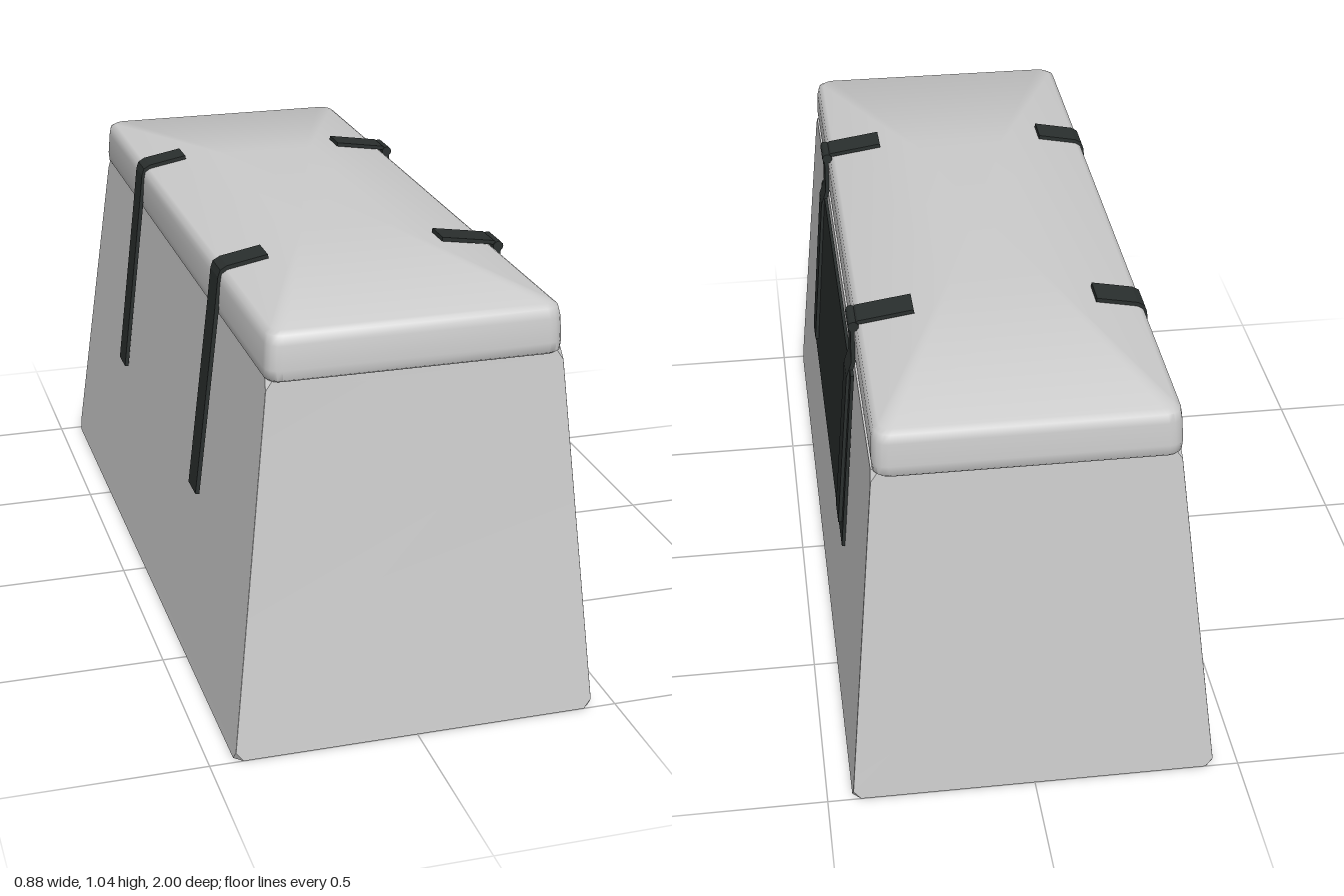
import * as THREE from 'three';
import { toCreasedNormals } from 'three/addons/utils/BufferGeometryUtils.js';

const grey = new THREE.MeshStandardMaterial({ color: 0xcccccc });
const dark = new THREE.MeshStandardMaterial({ color: 0x2a2f2e });

// Closed loft through rectangles [y, x0, x1, z0, z1, corner radius]
function loft(rings, cornerSteps, crease) {
  const pos = [], index = [];
  const n = 4 * (cornerSteps + 1);
  for (const [y, x0, x1, z0, z1, r] of rings) {
    const corners = [[x1 - r, z1 - r], [x0 + r, z1 - r], [x0 + r, z0 + r], [x1 - r, z0 + r]];
    corners.forEach(([cx, cz], c) => {
      for (let s = 0; s <= cornerSteps; s++) {
        const a = (c + s / cornerSteps) * Math.PI / 2;
        pos.push(cx + r * Math.cos(a), y, cz + r * Math.sin(a));
      }
    });
  }
  for (let k = 0; k < rings.length - 1; k++) {
    for (let i = 0; i < n; i++) {
      const a = k * n + i, b = k * n + (i + 1) % n;
      index.push(a, a + n, b, b, a + n, b + n);
    }
  }
  // bottom and top lids
  const last = rings.length - 1;
  for (const k of [0, last]) {
    const [y, x0, x1, z0, z1] = rings[k];
    const centre = pos.length / 3;
    pos.push((x0 + x1) / 2, y, (z0 + z1) / 2);
    for (let i = 0; i < n; i++) {
      const a = k * n + i, b = k * n + (i + 1) % n;
      if (k === 0) index.push(centre, a, b);
      else index.push(centre, b, a);
    }
  }
  const geo = new THREE.BufferGeometry();
  geo.setAttribute('position', new THREE.Float32BufferAttribute(pos, 3));
  geo.setIndex(index);
  return toCreasedNormals(geo, crease);
}

// Flat band of given thickness following an x/y path, extruded along z
function band(path, thickness, width, z) {
  const pts = path.map(([x, y]) => new THREE.Vector2(x, y));
  const side = (sign) => pts.map((p, i) => {
    const d = pts[Math.min(i + 1, pts.length - 1)].clone().sub(pts[Math.max(i - 1, 0)]).normalize();
    return new THREE.Vector2(p.x - d.y * sign * thickness / 2, p.y + d.x * sign * thickness / 2);
  });
  const shape = new THREE.Shape([...side(1), ...side(-1).reverse()]);
  const geo = new THREE.ExtrudeGeometry(shape, { depth: width, bevelEnabled: false });
  geo.translate(0, 0, z - width / 2);
  return geo;
}

export function createModel() {
  const model = new THREE.Group();
  const add = (name, geo, mat) => {
    const mesh = new THREE.Mesh(geo, mat);
    mesh.name = name;
    model.add(mesh);
    return mesh;
  };

  // Tapered body with clipped corners
  add('body', loft([
    [0, -0.44, 0.44, -1, 1, 0.02],
    [0.022, -0.437, 0.438, -0.998, 0.997, 0.0005],
    [0.865, -0.335, 0.366, -0.917, 0.897, 0.0005],
    [0.89, -0.332, 0.364, -0.915, 0.895, 0.015],
  ], 1, 0.2), grey);

  // Padded lid with a gently raised crown
  add('lid', loft([
    [0.886, -0.328, 0.352, -0.93, 0.905, 0.03],
    [0.892, -0.334, 0.36, -0.935, 0.913, 0.035],
    [0.915, -0.336, 0.362, -0.935, 0.914, 0.035],
    [0.97, -0.332, 0.36, -0.93, 0.908, 0.035],
    [0.993, -0.328, 0.355, -0.927, 0.903, 0.035],
    [1.002, -0.315, 0.343, -0.915, 0.89, 0.03],
    [1.037, -0.115, 0.135, -0.39, 0.38, 0.01],
  ], 4, 0.9), grey);

  // Panel hanging on the left side
  add('sidePanel', band([[0.372, 0.88], [0.411, 0.38]], 0.008, 1.01, 0), dark);

  const leftPath = [[0.22, 1.03], [0.352, 1.01], [0.366, 0.998], [0.367, 0.9], [0.38, 0.86], [0.415, 0.435]];
  const rightPath = [[-0.397, 0.432], [-0.342, 0.895], [-0.332, 0.985], [-0.327, 1.0], [-0.313, 1.008], [-0.214, 1.027]];
  for (const z of [0.435, -0.44]) {
    const end = z > 0 ? 'front' : 'back';
    add(end + 'LeftStrap', band(leftPath, 0.01, 0.075, z), dark);
    add(end + 'RightStrap', band(rightPath, 0.01, 0.075, z), dark);
    // Round bar where the strap folds over the lid edge
    const bar = add(end + 'StrapBar', new THREE.CylinderGeometry(0.013, 0.013, 0.08, 12), dark);
    bar.rotation.x = Math.PI / 2;
    bar.position.set(0.364, 1.0, z);
  }
  return model;
}
